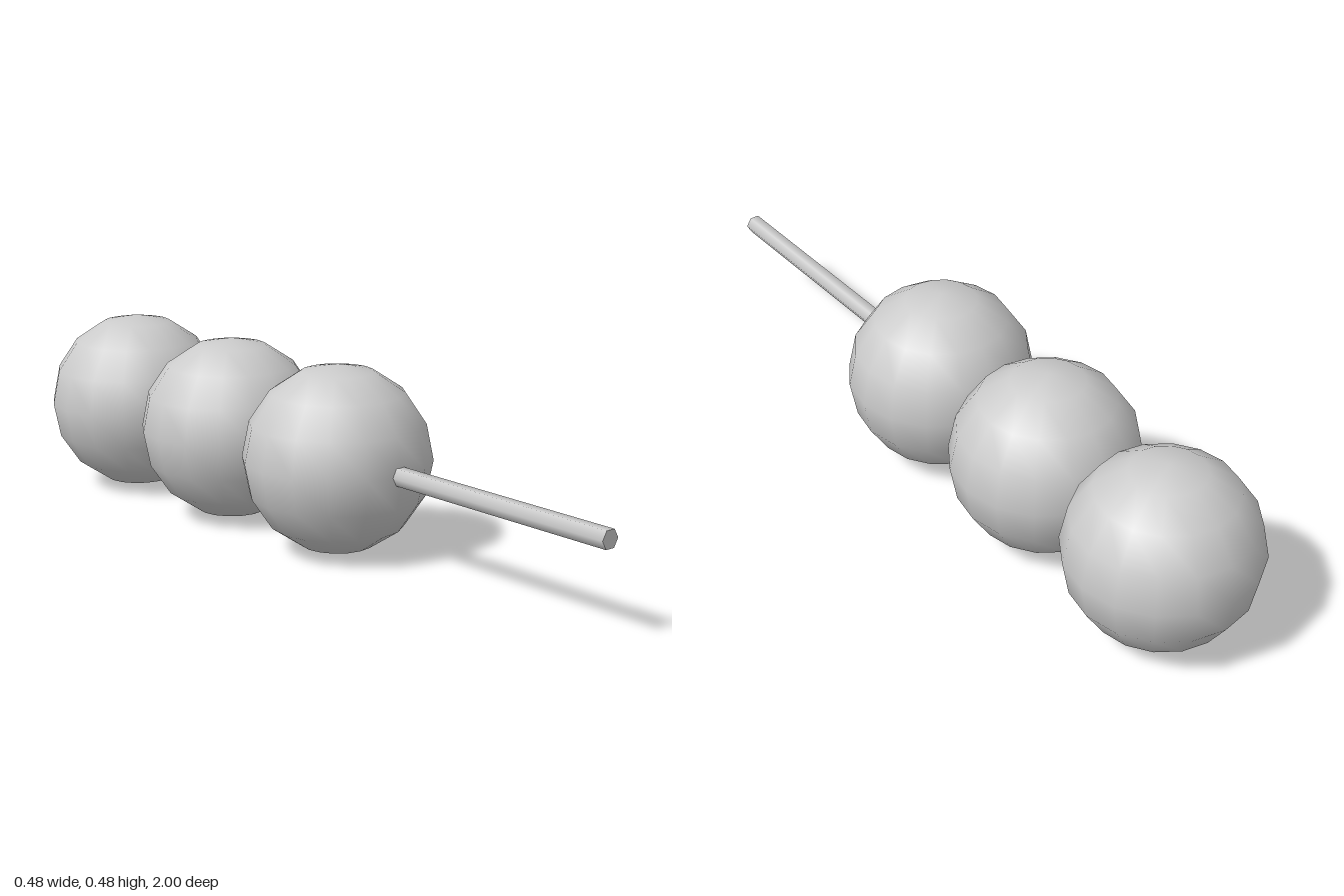
import * as THREE from 'three';

export function createModel() {
  const group = new THREE.Group();
  const material = new THREE.MeshStandardMaterial({ color: 0xcccccc });
  const centreY = 0.24;
  const radius = 0.239;

  // Three slightly overlapping dumplings in a row
  const ball = new THREE.SphereGeometry(radius, 16, 8);
  for (let i = 0; i < 3; i++) {
    const dumpling = new THREE.Mesh(ball, material);
    dumpling.name = `dumpling${i + 1}`;
    dumpling.position.set(0, centreY, 0.096 - i * 0.4285);
    group.add(dumpling);
  }

  // Hexagonal skewer running through the dumplings, corners to the sides
  const back = -0.8, front = 1;
  const rod = new THREE.CylinderGeometry(0.025, 0.025, front - back, 6);
  rod.rotateY(Math.PI / 2).rotateX(Math.PI / 2);
  const skewer = new THREE.Mesh(rod, material);
  skewer.name = 'skewer';
  skewer.position.set(0, centreY, (front + back) / 2);
  group.add(skewer);

  return group;
}
